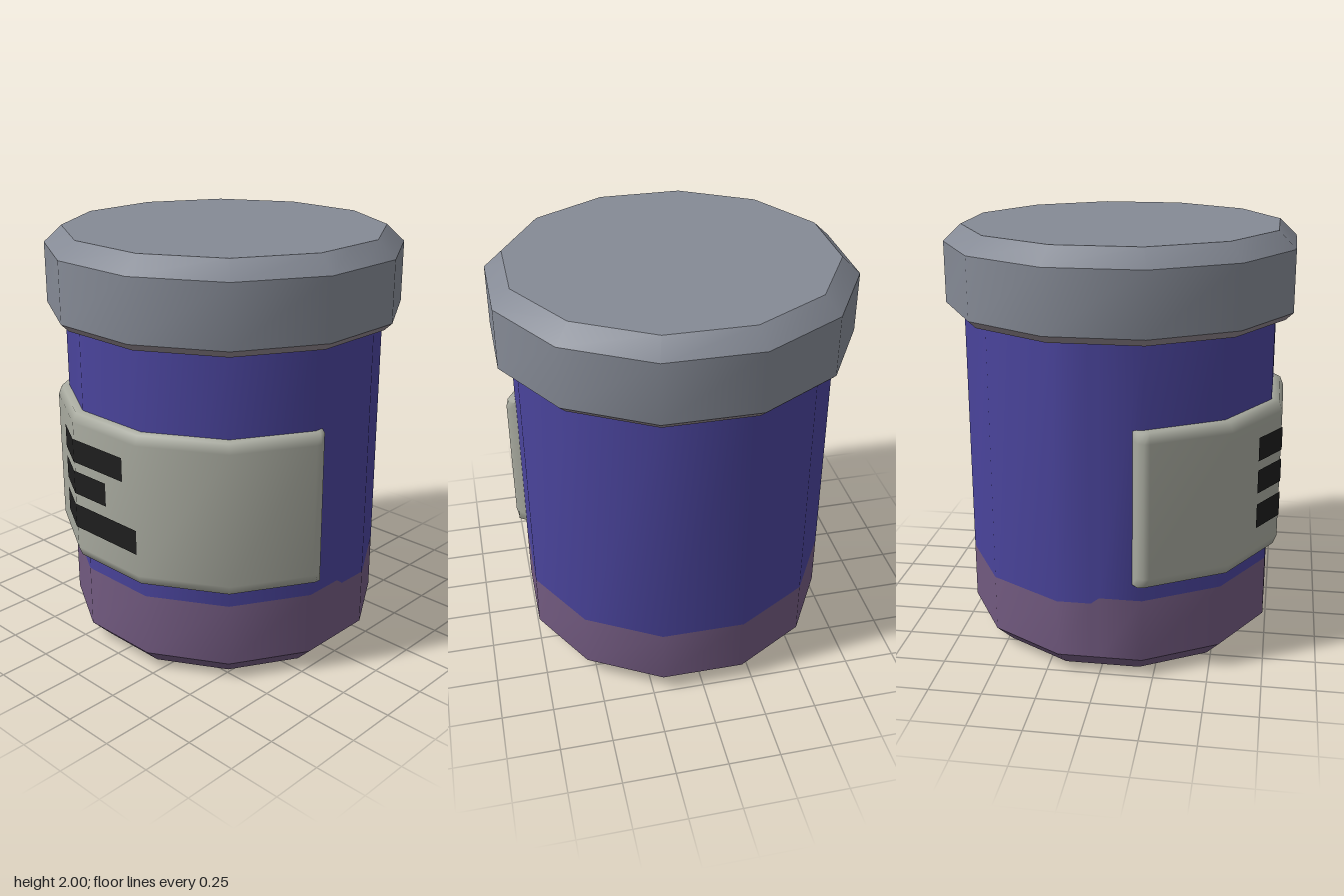
import * as THREE from 'three';
import { mergeGeometries } from 'three/addons/utils/BufferGeometryUtils.js';

const BODY = 0.738;      // centre-to-flat distance of the twelve-sided body
const DEPTH = 1.013;     // slight stretch along z

// Point on a twelve-sided ring; angle runs in degrees from +z towards -x
function ringPoint(angle, flat, y) {
  const off = THREE.MathUtils.degToRad(angle - 30 * Math.round(angle / 30));
  const a = THREE.MathUtils.degToRad(angle);
  const r = flat / Math.cos(off);
  return [-r * Math.sin(a), y, r * Math.cos(a) * DEPTH];
}

// Smooth surface over angles; rowsAt(angle, index) gives [flat, y] pairs from bottom to top
function surface(angles, rowsAt) {
  const pos = [], index = [];
  let n = 0;
  angles.forEach((angle, i) => {
    const rows = rowsAt(angle, i);
    n = rows.length;
    rows.forEach(([flat, y]) => pos.push(...ringPoint(angle, flat, y)));
  });
  for (let i = 0; i < angles.length - 1; i++) {
    for (let j = 0; j < n - 1; j++) {
      const a = i * n + j, b = a + 1, c = a + n, d = c + 1;
      index.push(a, b, c, b, d, c);
    }
  }
  const g = new THREE.BufferGeometry();
  g.setAttribute('position', new THREE.Float32BufferAttribute(pos, 3));
  g.setIndex(index);
  g.computeVertexNormals();
  return g;
}

// Full ring from a profile, with a sharp edge at every profile point
const corners = Array.from({ length: 12 }, (_, i) => 15 + 30 * i);
const full = [0, ...corners, 360];
function ring(profile) {
  const parts = [];
  for (let i = 0; i < profile.length - 1; i++) {
    parts.push(surface(full, () => [profile[i], profile[i + 1]]));
  }
  return mergeGeometries(parts);
}

function material(name, color) {
  const m = new THREE.MeshStandardMaterial({ color });
  m.name = name;
  return m;
}

export function createModel() {
  const group = new THREE.Group();
  group.name = 'jar';
  const lidGrey = material('lidGrey', 0x858a95);
  const rimMauve = material('rimMauve', 0x92888f);
  const blue = material('bodyBlue', 0x4a449c);
  const purple = material('basePurple', 0x725a80);
  const cream = material('labelCream', 0xa8aa9f);
  const black = material('markBlack', 0x1e1e1e);

  const add = (name, geometry, mat) => {
    const mesh = new THREE.Mesh(geometry, mat);
    mesh.name = name;
    group.add(mesh);
  };

  // Body and base band share a colour border that steps at the middle of front and back
  const stepped = [0, ...corners.slice(0, 6), 180, 183, ...corners.slice(6), 357, 360];
  const border = (a) => (a > 181 && a < 359 ? 0.36 : 0.39);
  add('body', surface(stepped, (a) => [[BODY, border(a)], [BODY, 1.6]]), blue);
  add('baseBand', surface(stepped, (a) => [[BODY, 0.085], [BODY, border(a)]]), purple);
  add('baseBottom', ring([[0, 0], [0.655, 0], [BODY, 0.085]]), purple);

  // Lid with chamfered top and a tinted lower rim
  add('lidUnderside', ring([[BODY - 0.02, 1.595], [0.785, 1.595]]), lidGrey);
  add('lidRim', ring([[0.785, 1.595], [0.82, 1.63]]), rimMauve);
  add('lid', ring([[0.82, 1.63], [0.82, 1.92], [BODY, 2], [0, 2]]), lidGrey);

  // Raised label wrapped round the right side, bevelled on all four edges
  const sides = [[11.5, -0.005], [13, 0.035], [15, 0.044], [16.8, 0.052], [45, 0.052], [75, 0.052]];
  const stations = [...sides, ...sides.map(([a, d]) => [180 - a, d]).reverse()];
  const section = [[-0.005, 0.47], [0.035, 0.475], [0.052, 0.52],
    [0.052, 1.16], [0.035, 1.205], [-0.005, 1.21]];
  add('label', surface(stations.map((s) => s[0]), (a, i) =>
    section.map(([d, y]) => [BODY + Math.min(d, stations[i][1]), y])), cream);

  // Printed bars on the label: end angle, bottom, top
  [[81, 0.965, 1.08], [89.5, 0.805, 0.92], [75.3, 0.63, 0.75]].forEach(([end, y0, y1], i) => {
    const flat = BODY + 0.057;
    add('labelBar' + (i + 1), surface([end, 105, 119.5], () => [[flat, y0], [flat, y1]]), black);
  });

  return group;
}
